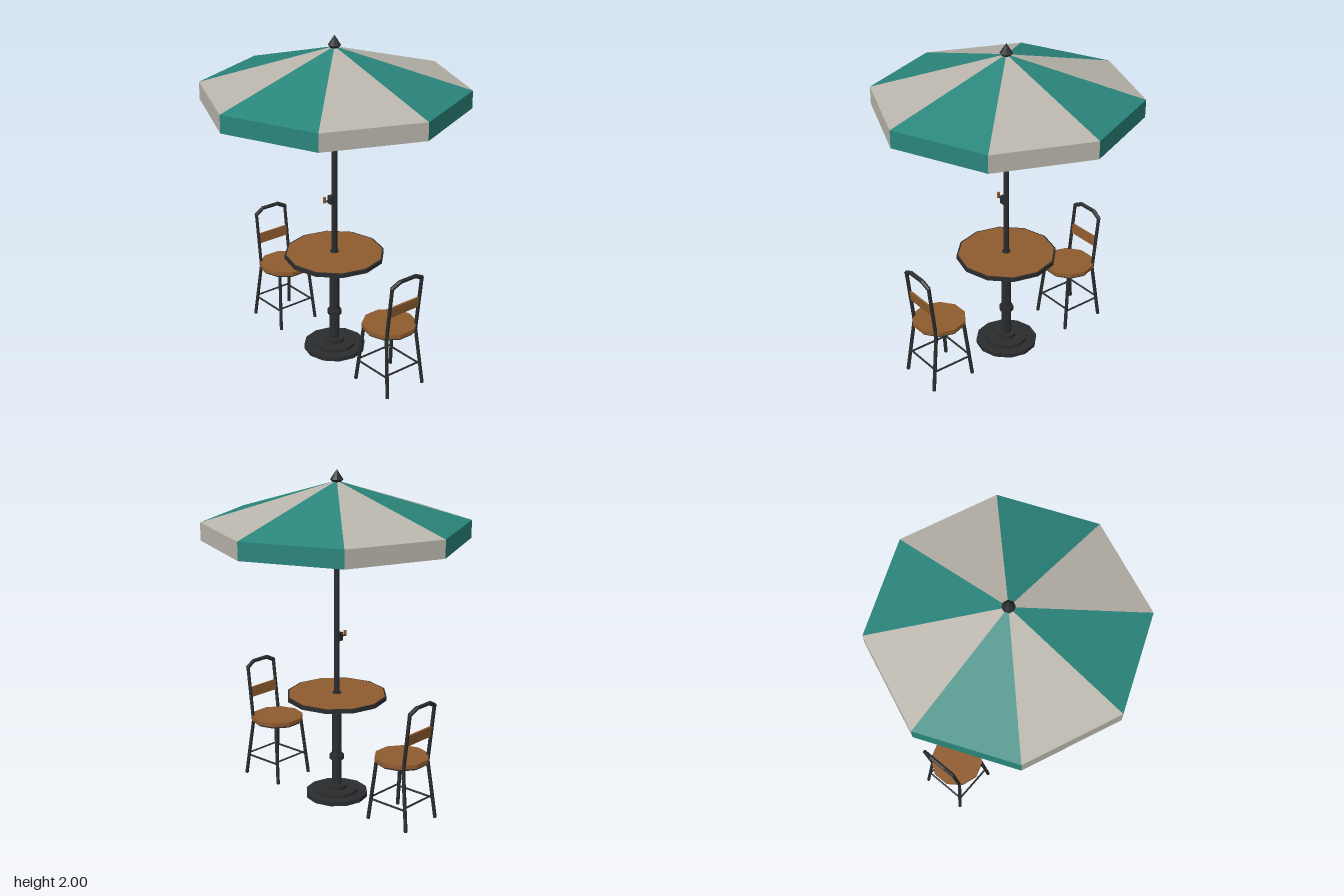
import * as THREE from 'three';

const mat = (color, extra = {}) => new THREE.MeshStandardMaterial({ color, flatShading: true, ...extra });
const metal = mat(0x2a2c2e);
const wood = mat(0x8f5b2e);
const teal = mat(0x2a857b, { side: THREE.DoubleSide });
const cream = mat(0xb9b5ac, { side: THREE.DoubleSide });

function add(parent, name, geometry, material) {
  const mesh = new THREE.Mesh(geometry, material);
  mesh.name = name;
  parent.add(mesh);
  return mesh;
}

// Upright disc or drum between two heights
function drum(parent, name, radius, y0, y1, sides, material = metal, x = 0) {
  const g = new THREE.CylinderGeometry(radius, radius, y1 - y0, sides);
  return add(parent, name, g.translate(x, (y0 + y1) / 2, 0), material);
}

// Straight bar between two points
function rod(parent, name, a, b, radius, sides = 6, material = metal) {
  const p = new THREE.Vector3(...a), q = new THREE.Vector3(...b);
  const dir = q.clone().sub(p);
  const mesh = add(parent, name, new THREE.CylinderGeometry(radius, radius, dir.length(), sides), material);
  mesh.position.copy(p).add(q).multiplyScalar(0.5);
  mesh.quaternion.setFromUnitVectors(new THREE.Vector3(0, 1, 0), dir.normalize());
  return mesh;
}

function createCanopy() {
  const canopy = new THREE.Group();
  canopy.name = 'canopy';
  const R = 0.783, rimY = 1.7, hemY = 1.595, apexY = 1.935;
  const corner = (i, y, r = R) => [r * Math.cos(i * Math.PI / 4), y, r * Math.sin(i * Math.PI / 4)];
  for (let i = 0; i < 8; i++) {
    // Sloping panel and its hanging valance, in alternating colours
    const a = corner(i, rimY), b = corner(i + 1, rimY);
    const c = corner(i, hemY), d = corner(i + 1, hemY);
    const g = new THREE.BufferGeometry();
    const pos = [[0, apexY, 0], b, a, a, b, d, a, d, c].flat();
    g.setAttribute('position', new THREE.Float32BufferAttribute(pos, 3));
    g.computeVertexNormals();
    add(canopy, 'canopyPanel', g, i % 2 ? teal : cream);
    rod(canopy, 'rib', [0, 1.68, 0], corner(i, 1.69, R - 0.02), 0.007);
  }
  drum(canopy, 'ribHub', 0.025, 1.665, 1.695, 8);
  // Pointed cap
  const profile = [[0, 1.925], [0.022, 1.925], [0.038, 1.942], [0, 2]];
  add(canopy, 'finial', new THREE.LatheGeometry(profile.map(p => new THREE.Vector2(...p)), 8), metal);
  return canopy;
}

function createTable() {
  const table = new THREE.Group();
  table.name = 'table';
  drum(table, 'baseDisc', 0.19, 0, 0.026, 12);
  drum(table, 'baseStep', 0.13, 0.026, 0.045, 12);
  drum(table, 'baseCollar', 0.06, 0.045, 0.07, 12);
  drum(table, 'column', 0.03, 0.07, 0.6, 8);
  drum(table, 'columnRing', 0.044, 0.235, 0.265, 8);
  drum(table, 'tableRim', 0.303, 0.63, 0.655, 12);
  drum(table, 'tableTop', 0.293, 0.64, 0.657, 12, wood);
  drum(table, 'poleCollar', 0.027, 0.655, 0.663, 8);
  return table;
}

function createPole() {
  const pole = new THREE.Group();
  pole.name = 'parasolPole';
  drum(pole, 'pole', 0.017, 0.05, 1.93, 8);
  // Winding crank on the front
  add(pole, 'crankHousing', new THREE.BoxGeometry(0.03, 0.05, 0.03).translate(0, 1.005, 0.025), metal);
  rod(pole, 'crankArm', [0, 1.003, 0.03], [0, 1.003, 0.08], 0.006);
  rod(pole, 'crankHandle', [0, 0.997, 0.075], [0, 1.032, 0.075], 0.009, 6, wood);
  return pole;
}

// Chair on the +x side, its back away from the table
function createChair() {
  const chair = new THREE.Group();
  chair.name = 'chair';
  const cx = 0.507;
  drum(chair, 'seat', 0.162, 0.367, 0.392, 10, wood, cx);
  drum(chair, 'seatFrame', 0.152, 0.355, 0.367, 10, metal, cx);
  for (const s of [1, -1]) {
    rod(chair, 'frontLeg', [0.372, 0, s * 0.137], [0.41, 0.36, s * 0.112], 0.011);
    rod(chair, 'backLeg', [0.655, 0, s * 0.137], [0.61, 0.36, s * 0.112], 0.011);
    rod(chair, 'sideStretcher', [0.386, 0.125, s * 0.128], [0.638, 0.125, s * 0.128], 0.006);
    // Back hoop, built as one half per side
    const hoop = [[0.61, 0.355, s * 0.112], [0.65, 0.705, s * 0.112], [0.656, 0.733, s * 0.058], [0.656, 0.733, 0]];
    hoop.slice(1).forEach((p, i) => rod(chair, i ? 'topRail' : 'backPost', hoop[i], p, i ? 0.013 : 0.011));
    hoop.slice(1, 3).forEach(p => {
      add(chair, 'hoopJoint', new THREE.IcosahedronGeometry(0.013), metal).position.set(...p);
    });
  }
  rod(chair, 'frontStretcher', [0.387, 0.14, -0.127], [0.387, 0.14, 0.127], 0.006);
  rod(chair, 'backStretcher', [0.637, 0.14, -0.127], [0.637, 0.14, 0.127], 0.006);
  const slat = add(chair, 'backSlat', new THREE.BoxGeometry(0.012, 0.064, 0.22), wood);
  slat.position.set(0.631, 0.543, 0);
  slat.rotation.z = -Math.atan2(0.04, 0.35);
  return chair;
}

export function createModel() {
  const model = new THREE.Group();
  model.name = 'parasolTableSet';
  const leftChair = createChair(), rightChair = createChair();
  leftChair.name = 'leftChair';
  rightChair.name = 'rightChair';
  rightChair.rotation.y = Math.PI;
  model.add(createTable(), createPole(), createCanopy(), leftChair, rightChair);
  return model;
}
